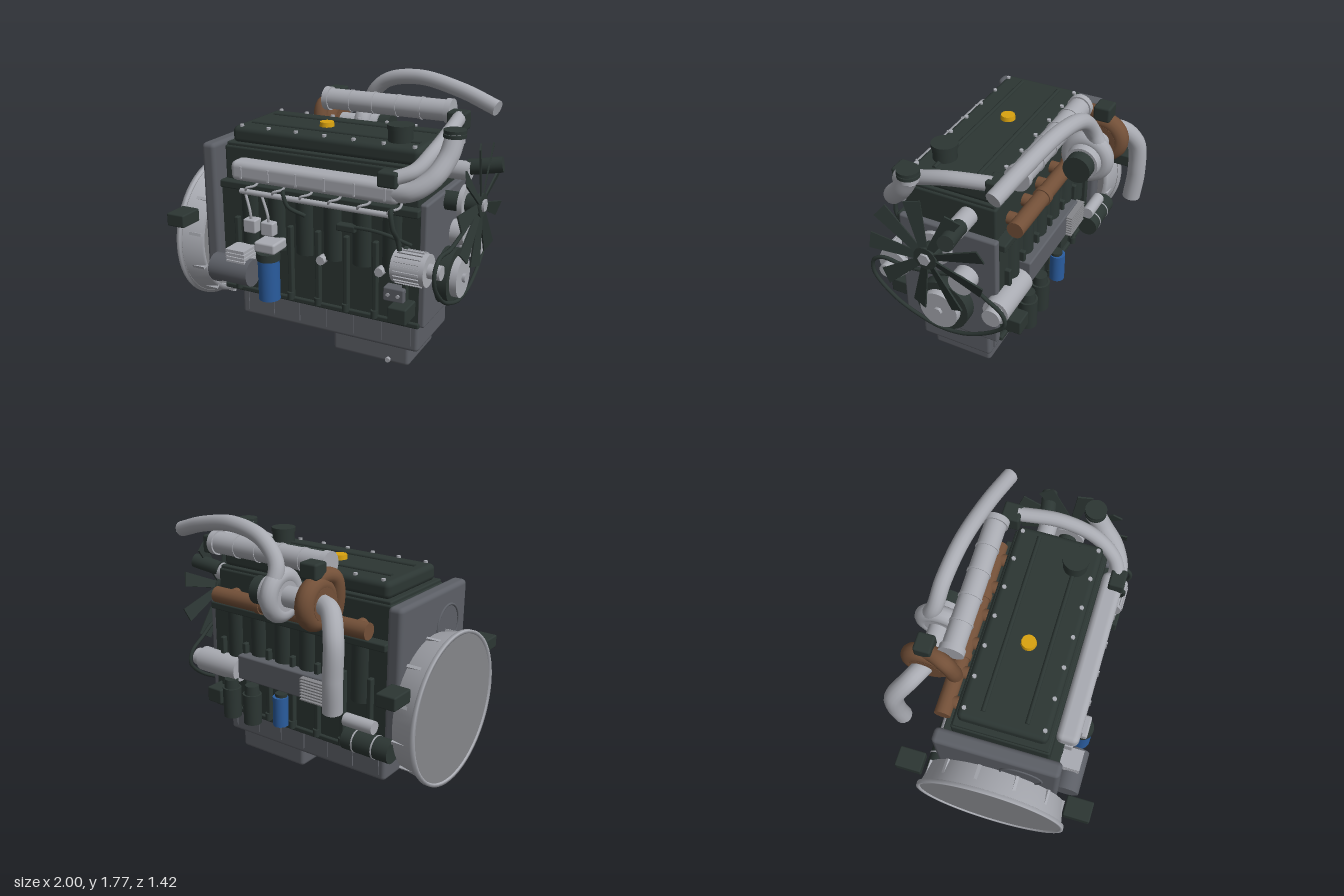
import * as THREE from 'three';
import { RoundedBoxGeometry } from 'three/addons/geometries/RoundedBoxGeometry.js';
import { mergeGeometries } from 'three/addons/utils/BufferGeometryUtils.js';

const paint = (name, color) => Object.assign(new THREE.MeshStandardMaterial({ color }), { name });

export function createModel() {
  const root = new THREE.Group();
  root.name = 'engine';
  const dark = paint('dark green paint', 0x2c3633);
  const grey = paint('cast grey', 0x5c5f66);
  const light = paint('aluminium', 0xa9abb2);
  const mid = paint('plate grey', 0x85868a);
  const blue = paint('filter blue', 0x2a5c9e);
  const brown = paint('rusty brown', 0x735038);
  const yellow = paint('cap yellow', 0xd9a20f);

  const add = (name, geo, mat) => {
    const m = new THREE.Mesh(geo, mat);
    m.name = name;
    root.add(m);
    return m;
  };
  // Box from its limits, with rounded edges when r is given
  const box = (name, mat, x0, x1, y0, y1, z0, z1, r = 0) => {
    const s = [x1 - x0, y1 - y0, z1 - z0];
    const g = r ? new RoundedBoxGeometry(...s, 2, r) : new THREE.BoxGeometry(...s);
    return add(name, g.translate((x0 + x1) / 2, (y0 + y1) / 2, (z0 + z1) / 2), mat);
  };
  // Cylinder along x, y or z, from a to b on that axis
  const cyl = (name, mat, axis, a, b, c1, c2, r, r2 = r, n = 28) => {
    const g = new THREE.CylinderGeometry(r2, r, b - a, n);
    const m = (a + b) / 2;
    if (axis === 'x') g.rotateZ(-Math.PI / 2).translate(m, c1, c2);
    else if (axis === 'y') g.translate(c1, m, c2);
    else g.rotateX(Math.PI / 2).translate(c1, c2, m);
    return add(name, g, mat);
  };
  // Smooth pipe through points, closed at both ends
  const pipe = (name, mat, pts, r, n = 40, sides = 16) => {
    const curve = new THREE.CatmullRomCurve3(pts.map(p => new THREE.Vector3(...p)));
    const parts = [new THREE.TubeGeometry(curve, n, r, sides)];
    for (const t of [0, 1]) {
      const dir = curve.getTangent(t).multiplyScalar(t ? 1 : -1);
      const q = new THREE.Quaternion().setFromUnitVectors(new THREE.Vector3(0, 0, 1), dir);
      parts.push(new THREE.CircleGeometry(r, sides).applyQuaternion(q).translate(...curve.getPoint(t).toArray()));
    }
    return add(name, mergeGeometries(parts), mat);
  };
  const ring = (name, mat, x, y, z, R, r) =>
    add(name, new THREE.TorusGeometry(R, r, 14, 36).rotateY(Math.PI / 2).translate(x, y, z), mat);

  // Block, head and covers
  box('block', dark, -0.73, 0.66, 0.36, 1.1, -0.26, 0.4);
  box('blockTopFlange', dark, -0.72, 0.66, 1.07, 1.12, -0.3, 0.44, 0.01);
  box('blockBottomFlange', dark, -0.73, 0.67, 0.355, 0.39, -0.28, 0.42, 0.01);
  box('head', dark, -0.71, 0.64, 1.11, 1.34, -0.23, 0.38, 0.015);
  box('headFlange', dark, -0.7, 0.63, 1.31, 1.36, -0.22, 0.37, 0.01);
  box('valveCover', dark, -0.67, 0.62, 1.35, 1.46, -0.2, 0.35, 0.035);
  box('timingCover', grey, 0.65, 0.7, 0.36, 1.15, -0.26, 0.4, 0.015);
  box('oilPan', grey, -0.66, 0.635, 0.14, 0.36, -0.17, 0.33, 0.025);
  box('oilSump', grey, 0.02, 0.56, 0.003, 0.16, -0.13, 0.29, 0.025);
  cyl('drainPlug', light, 'z', 0.28, 0.31, 0.42, 0.03, 0.018, 0.018, 6);
  for (let i = 0; i < 7; i++) {
    const x = -0.61 + i * 0.198;
    for (const z of [-0.165, 0.32]) cyl('coverBolt', light, 'y', 1.44, 1.472, x, z, 0.014, 0.014, 6);
    for (const [z, s] of [[0.41, 1], [-0.27, -1]]) {
      box('blockRib', dark, x - 0.016, x + 0.016, 0.38, 0.88, z - 0.025, z + 0.025, 0.008);
      cyl('ribFoot', dark, 'y', 0.38, 0.43, x, z + s * 0.02, 0.022);
    }
    box('panRib', grey, x - 0.008, x + 0.008, 0.18, 0.34, -0.178, 0.338);
  }
  for (let i = 0; i < 6; i++) {
    const x = -0.52 + i * 0.2;
    for (const z of [0.36, -0.22]) cyl('cylinderBulge', dark, 'y', 0.7, 1.08, x, z, 0.075);
  }
  for (const z of [-0.055, 0.21]) pipe('coverRidge', dark, [[-0.6, 1.46, z], [0.57, 1.46, z]], 0.014, 2, 8);
  for (const x of [0.02, 0.42]) cyl('corePlug', light, 'z', 0.4, 0.46, x, 0.7, 0.03, 0.03, 8);
  cyl('oilCap', yellow, 'y', 1.45, 1.49, -0.125, 0.08, 0.05, 0.045, 14);
  cyl('breather', dark, 'y', 1.45, 1.56, 0.44, 0.21, 0.075);
  cyl('breatherLid', dark, 'y', 1.535, 1.562, 0.44, 0.21, 0.082);

  // Flywheel housing at the -x end
  box('rearPlate', grey, -0.83, -0.73, 0.4, 1.36, -0.31, 0.47, 0.03);
  const bell = [[0.42, 0.17], [0.45, 0.17], [0.475, 0.03], [0.495, 0.025], [0.495, 0], [0.475, 0], [0.47, 0.02]];
  add('bellHousing', new THREE.LatheGeometry(bell.map(p => new THREE.Vector2(...p)).reverse(), 56)
    .rotateZ(-Math.PI / 2).translate(-1, 0.655, 0.075), light).material.side = THREE.DoubleSide;
  cyl('flywheelCover', mid, 'x', -0.99, -0.97, 0.655, 0.075, 0.478, 0.478, 56);
  ring('rearCoverRing', grey, -0.83, 1.12, 0.24, 0.13, 0.008);
  for (let i = 0; i < 12; i++) {
    const a = i * Math.PI / 6 + 0.2;
    box('housingRib', light, -0.95, -0.83, -0.01, 0.01, 0.43, 0.466)
      .geometry.rotateX(-a).translate(0, 0.655, 0.075);
  }
  // Engine mounts
  for (const s of [1, -1]) {
    const zs = (a, b) => [0.08 + s * a, 0.08 + s * b].sort((p, q) => p - q);
    box('rearMount', dark, -0.95, -0.82, 0.855, 0.94, ...zs(0.46, 0.63), 0.01);
    box('frontMount', dark, 0.52, 0.64, 0.43, 0.535, ...zs(0.31, 0.47), 0.01);
  }

  // Intake manifold, rail and injector lines
  box('intakeManifold', light, -0.585, 0.56, 1.155, 1.285, 0.38, 0.52, 0.04);
  pipe('fuelRail', light, [[-0.54, 1.08, 0.47], [0.51, 1.08, 0.47]], 0.018, 2, 10);
  for (let i = 0; i < 6; i++) {
    const x = -0.5 + i * 0.196;
    pipe('injectorLine', light, [[x, 1.08, 0.47], [x + 0.015, 1.11, 0.49], [x + 0.07, 1.13, 0.46], [x + 0.075, 1.17, 0.43]], 0.009, 10, 6);
    box('manifoldRib', light, x - 0.006, x + 0.006, 1.18, 1.26, 0.4, 0.526);
  }
  pipe('intakeElbow', light, [[0.5, 1.22, 0.46], [0.62, 1.24, 0.46], [0.72, 1.31, 0.4], [0.775, 1.42, 0.3], [0.79, 1.52, 0.24]], 0.06);
  cyl('intakeCollar', light, 'y', 1.5, 1.53, 0.79, 0.24, 0.06);
  cyl('intakeCap', dark, 'y', 1.53, 1.55, 0.79, 0.24, 0.068);
  cyl('intakeCapTop', dark, 'y', 1.555, 1.575, 0.79, 0.24, 0.068);
  cyl('intakeCapCore', light, 'y', 1.52, 1.565, 0.79, 0.24, 0.055);
  box('lowerCoupler', dark, 0.43, 0.555, 1.26, 1.355, 0.43, 0.53, 0.015);
  pipe('chargePipe', light, [[0.52, 1.31, 0.48], [0.62, 1.35, 0.42], [0.68, 1.44, 0.28], [0.69, 1.51, 0.05], [0.65, 1.53, -0.22]], 0.045);
  box('upperCoupler', dark, 0.575, 0.7, 1.45, 1.57, -0.31, -0.19, 0.015);

  // Charge cooler
  cyl('chargeCooler', light, 'x', -0.34, 0.57, 1.545, -0.325, 0.07);
  for (const x of [-0.325, -0.15, 0.02, 0.19, 0.36, 0.55]) {
    const end = x < -0.3 || x > 0.5;
    cyl('coolerBand', light, 'x', x - (end ? 0.02 : 0.006), x + (end ? 0.02 : 0.006), 1.545, -0.325, end ? 0.08 : 0.075);
  }
  box('coolerCoupler', dark, -0.4, -0.28, 1.5, 1.6, -0.54, -0.43, 0.015);

  // Exhaust manifold and turbocharger
  pipe('exhaustManifold', brown, [[-0.62, 1.19, -0.32], [0.58, 1.19, -0.32]], 0.053, 2);
  for (let i = 0; i < 6; i++) cyl('exhaustPort', brown, 'z', -0.32, -0.22, -0.52 + i * 0.2, 1.19, 0.04);
  for (const x of [-0.22, 0.2]) cyl('exhaustJoint', brown, 'x', x - 0.02, x + 0.02, 1.19, -0.32, 0.06);
  pipe('turbineFeed', brown, [[-0.36, 1.19, -0.32], [-0.39, 1.38, -0.32], [-0.39, 1.49, -0.36], [-0.36, 1.5, -0.45], [-0.36, 1.42, -0.55]], 0.05);
  ring('turbineVolute', brown, -0.36, 1.355, -0.48, 0.11, 0.06);
  cyl('turbineBody', brown, 'x', -0.42, -0.3, 1.355, -0.48, 0.1);
  cyl('turboCentre', light, 'x', -0.32, -0.12, 1.355, -0.48, 0.065);
  ring('compressorVolute', light, -0.1, 1.355, -0.48, 0.115, 0.056);
  cyl('compressorBody', light, 'x', -0.15, 0.0, 1.355, -0.48, 0.13, 0.105);
  cyl('compressorInlet', dark, 'x', -0.02, 0.08, 1.355, -0.48, 0.088);
  pipe('compressorOutlet', light, [[-0.1, 1.38, -0.58], [-0.09, 1.54, -0.51], [0.03, 1.67, -0.485], [0.28, 1.72, -0.45], [0.6, 1.67, -0.39], [0.86, 1.59, -0.33]], 0.05, 50);
  pipe('exhaustDownpipe', light, [[-0.38, 1.36, -0.48], [-0.5, 1.35, -0.54], [-0.59, 1.22, -0.63], [-0.6, 1.0, -0.65], [-0.59, 0.79, -0.635]], 0.06);

  // Oil cooler, filters and starter on the back
  box('oilCooler', grey, -0.35, 0.4, 0.64, 0.81, -0.34, -0.25, 0.012);
  for (let i = 0; i < 8; i++) box('coolerFin', mid, -0.37, -0.15, 0.65 + i * 0.02, 0.658 + i * 0.02, -0.38, -0.32);
  for (const x of [0.27, 0.45]) {
    cyl('oilFilter', dark, 'y', 0.36, 0.57, x, -0.35, 0.06, 0.063);
    cyl('filterHead', dark, 'y', 0.57, 0.63, x, -0.35, 0.05, 0.045);
  }
  cyl('coolantFilter', blue, 'y', 0.42, 0.62, 0.02, -0.36, 0.05);
  cyl('coolantFilterHead', dark, 'y', 0.61, 0.64, 0.02, -0.35, 0.04);
  cyl('starter', dark, 'x', -0.83, -0.5, 0.49, -0.36, 0.072);
  for (const x of [-0.72, -0.58]) cyl('starterBand', light, 'x', x - 0.005, x + 0.005, 0.49, -0.36, 0.0745);
  cyl('starterSolenoid', light, 'x', -0.7, -0.49, 0.61, -0.36, 0.042);

  // Fuel filter, pump and senders on the front
  cyl('fuelFilter', blue, 'y', 0.4, 0.69, -0.32, 0.515, 0.07);
  cyl('fuelFilterCap', dark, 'y', 0.67, 0.72, -0.32, 0.515, 0.075);
  box('fuelFilterHead', light, -0.4, -0.25, 0.72, 0.79, 0.4, 0.56, 0.015);
  cyl('fuelPump', grey, 'x', -0.73, -0.44, 0.55, 0.515, 0.09);
  box('pumpBracket', grey, -0.7, -0.46, 0.48, 0.6, 0.39, 0.5);
  for (let i = 0; i < 4; i++) box('pumpFin', light, -0.61, -0.47, 0.615 + i * 0.025, 0.633 + i * 0.025, 0.43, 0.57);
  box('pumpFinCore', light, -0.6, -0.48, 0.6, 0.7, 0.44, 0.56);
  for (const [x, dx] of [[-0.475, -0.04], [-0.345, -0.05]]) {
    box('sender', light, x - 0.045, x + 0.045, 0.81, 0.9, 0.41, 0.49, 0.01);
    pipe('senderLine', light, [[x, 0.88, 0.46], [x, 0.95, 0.47], [x + dx, 1.08, 0.46]], 0.01, 12, 6);
  }
  box('sensorBox', grey, 0.455, 0.59, 0.53, 0.62, 0.39, 0.47, 0.01);
  for (const x of [0.49, 0.555]) cyl('sensorBolt', light, 'z', 0.465, 0.48, x, 0.575, 0.012, 0.012, 6);
  pipe('cable', dark, [[0.14, 0.94, 0.43], [0.3, 0.96, 0.45], [0.45, 0.95, 0.45], [0.62, 0.9, 0.43]], 0.012, 20, 8);
  box('cablePlug', dark, 0.13, 0.26, 0.92, 0.965, 0.4, 0.46, 0.01);
  pipe('shortHose', dark, [[-0.24, 1.11, 0.44], [-0.21, 1.12, 0.5], [-0.18, 1.04, 0.5], [-0.1, 0.97, 0.43]], 0.013, 20, 8);

  // Alternator, compressor, water pump and crank pulley at the +x end
  cyl('alternator', light, 'x', 0.53, 0.74, 0.77, 0.45, 0.1);
  for (let i = 0; i < 20; i++) {
    box('alternatorFin', light, 0.55, 0.71, -0.006, 0.006, 0.09, 0.108).geometry.rotateX(i * Math.PI / 10).translate(0, 0.77, 0.45);
  }
  cyl('alternatorPulley', light, 'x', 0.73, 0.82, 0.77, 0.45, 0.045);
  cyl('airCompressor', light, 'x', 0.42, 0.76, 0.68, -0.28, 0.085);
  cyl('compressorPulley', light, 'x', 0.75, 0.82, 0.68, -0.28, 0.06);
  cyl('waterPump', light, 'x', 0.68, 0.79, 0.84, -0.06, 0.08);
  cyl('crankDamper', dark, 'x', 0.69, 0.78, 0.6, 0.08, 0.18, 0.18, 40);
  cyl('crankPulley', light, 'x', 0.77, 0.825, 0.6, 0.08, 0.13, 0.13, 40);
  cyl('crankBolt', light, 'x', 0.82, 0.845, 0.6, 0.08, 0.03, 0.03, 6);
  const beltPath = [[0.54, 0.82], [0.54, 0.72], [0.4, 0.57], [0.24, 0.49], [0.08, 0.45], [-0.1, 0.47], [-0.29, 0.57],
    [-0.37, 0.66], [-0.35, 0.74], [-0.24, 0.82], [-0.14, 0.89], [-0.04, 0.92], [0.1, 0.89], [0.3, 0.86], [0.47, 0.87]];
  const belt = new THREE.CatmullRomCurve3(beltPath.map(([z, y]) => new THREE.Vector3(0.81, y, z)), true);
  add('driveBelt', new THREE.TubeGeometry(belt, 90, 0.013, 8, true), dark);
  pipe('coolantHose', dark, [[0.5, 1.1, 0.44], [0.52, 1.12, 0.52], [0.54, 1.02, 0.53], [0.55, 0.94, 0.48], [0.56, 0.87, 0.47]], 0.015, 24, 8);
  cyl('thermostat', light, 'x', 0.62, 0.8, 1.25, -0.05, 0.06);
  pipe('radiatorHose', dark, [[0.78, 1.27, -0.07], [0.87, 1.285, -0.08], [0.985, 1.305, -0.1]], 0.05, 8);

  // Fan with nine pitched blades
  cyl('fanPulley', light, 'x', 0.8, 0.83, 1.09, 0.08, 0.11);
  cyl('fanShaft', dark, 'x', 0.66, 0.9, 1.09, 0.08, 0.06);
  cyl('fanHub', dark, 'x', 0.9, 0.93, 1.09, 0.08, 0.075);
  cyl('fanNut', light, 'x', 0.925, 0.945, 1.09, 0.08, 0.04, 0.04, 6);
  const bladeShape = new THREE.Shape([[0.04, -0.022], [0.38, -0.05], [0.38, 0.05], [0.04, 0.022]].map(p => new THREE.Vector2(...p)));
  for (let i = 0; i < 9; i++) {
    const g = new THREE.ExtrudeGeometry(bladeShape, { depth: 0.01, bevelEnabled: false });
    g.rotateX(0.28).rotateY(-Math.PI / 2).rotateX(-i * Math.PI * 2 / 9).translate(0.92, 1.09, 0.08);
    add('fanBlade', g, dark);
  }
  return root;
}
